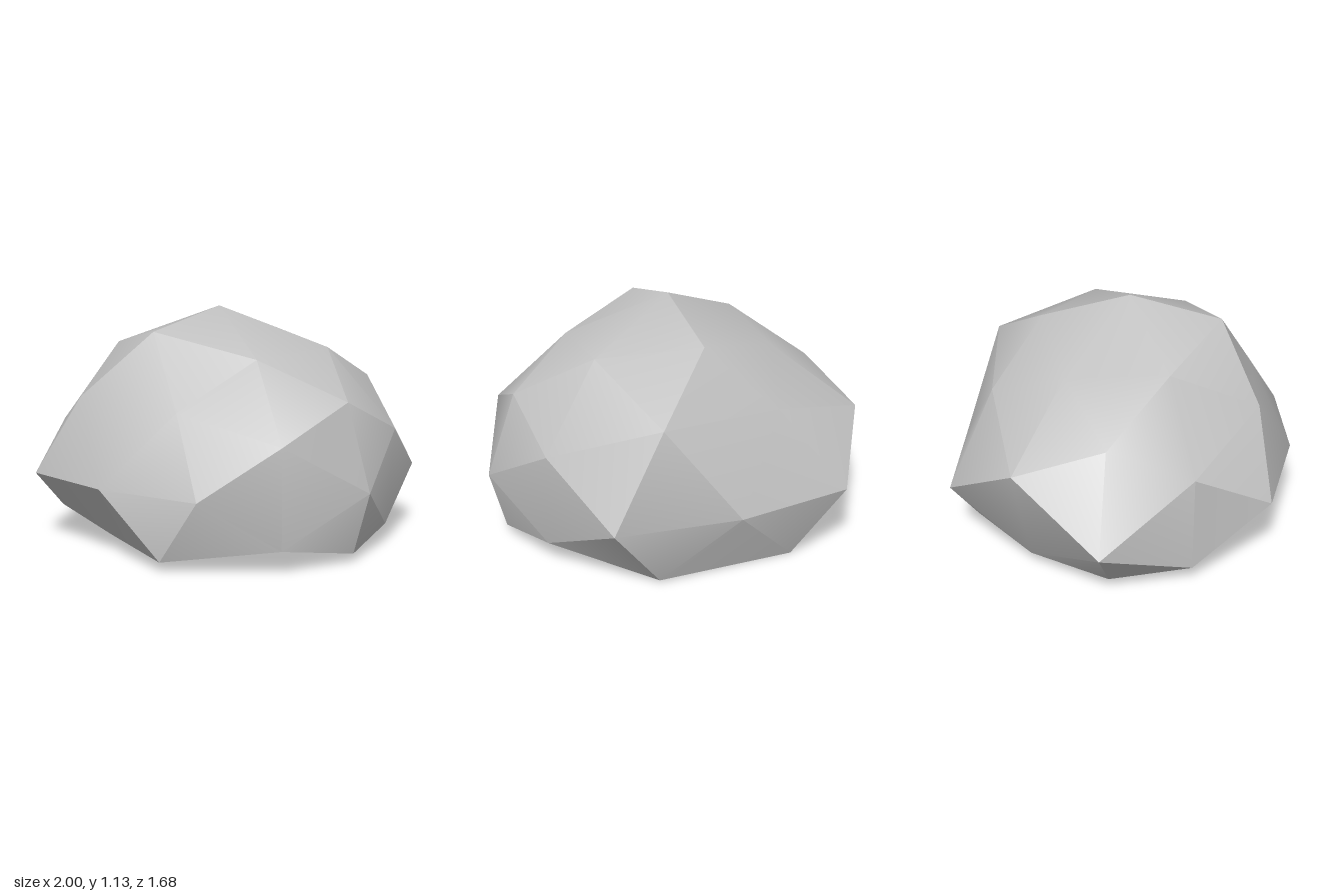
import * as THREE from 'three';
import { toCreasedNormals } from 'three/addons/utils/BufferGeometryUtils.js';

const T = (1 + Math.sqrt(5)) / 2;

// Corners of a regular icosahedron and where weathering has moved each one
const corners = {
  F: { ideal: [0, T, 1], at: [0.06, 1.03, 0.47] },
  B: { ideal: [0, T, -1], at: [0.07, 0.99, -0.42] },
  R: { ideal: [T, 1, 0], at: [0.86, 0.73, 0.02] },
  L: { ideal: [-T, 1, 0], at: [-0.72, 0.70, 0.02] },
  FR: { ideal: [1, 0, T], at: [0.60, 0.34, 0.74] },
  FL: { ideal: [-1, 0, T], at: [-0.46, 0.33, 0.77] },
  BR: { ideal: [1, 0, -T], at: [0.67, 0.31, -0.78] },
  BL: { ideal: [-1, 0, -T], at: [-0.51, 0.31, -0.78] },
  r: { ideal: [T, -1, 0], at: [0.92, 0.04, 0.04] },
  l: { ideal: [-T, -1, 0], at: [-0.73, 0.01, 0.03] },
  f: { ideal: [0, -T, 1], at: [0.05, 0.034, 0.45] },
  b: { ideal: [0, -T, -1], at: [0.05, 0.008, -0.42] },
};

// Bulging edge midpoints; edges not listed stay straight (the flat underside)
const bulges = {
  'F-B': [0.06, 1.13, 0.02],
  'F-R': [0.51, 0.915, 0.25], 'F-L': [-0.40, 0.94, 0.27],
  'B-R': [0.54, 0.94, -0.23], 'B-L': [-0.38, 0.88, -0.23],
  'F-FR': [0.34, 0.69, 0.60], 'F-FL': [-0.22, 0.72, 0.68],
  'B-BR': [0.41, 0.75, -0.73], 'B-BL': [-0.22, 0.71, -0.62],
  'R-FR': [0.82, 0.57, 0.43], 'L-FL': [-0.65, 0.54, 0.42],
  'R-BR': [0.84, 0.56, -0.38], 'L-BL': [-0.77, 0.56, -0.41],
  'FR-FL': [0.08, 0.34, 0.84], 'BR-BL': [0.07, 0.30, -0.84],
  'R-r': [1.00, 0.33, 0.03], 'L-l': [-1.00, 0.30, 0.03],
  'FR-r': [0.83, 0.11, 0.44], 'FL-l': [-0.68, 0.08, 0.42],
  'BR-r': [0.83, 0.10, -0.33], 'BL-l': [-0.64, 0.06, -0.36],
  'FR-f': [0.41, 0.05, 0.78], 'FL-f': [-0.17, 0.035, 0.55],
  'BR-b': [0.43, 0.01, -0.72], 'BL-b': [-0.25, 0.0, -0.72],
};

const ideal = (n) => new THREE.Vector3(...corners[n].ideal);
const at = (n) => corners[n].at;
const mid = (a, b) => bulges[`${a}-${b}`] ?? bulges[`${b}-${a}`]
  ?? at(a).map((v, i) => (v + at(b)[i]) / 2);
const adjacent = (a, b) => Math.abs(ideal(a).distanceTo(ideal(b)) - 2) < 0.01;

// Split every icosahedron face into four, wound to face outwards
function boulderGeometry() {
  const names = Object.keys(corners);
  const pos = [];
  names.forEach((a, i) => names.slice(i + 1).forEach((b, j) => names.slice(i + j + 2).forEach((c) => {
    if (!adjacent(a, b) || !adjacent(b, c) || !adjacent(a, c)) return;
    const outward = ideal(a).cross(ideal(b)).dot(ideal(c)) > 0;
    const [p, q] = outward ? [b, c] : [c, b];
    const ap = mid(a, p), pq = mid(p, q), qa = mid(q, a);
    pos.push(at(a), ap, qa, ap, at(p), pq, qa, pq, at(q), ap, pq, qa);
  })));
  const geo = new THREE.BufferGeometry();
  geo.setAttribute('position', new THREE.Float32BufferAttribute(pos.flat(), 3));
  return toCreasedNormals(geo, THREE.MathUtils.degToRad(30));
}

export function createModel() {
  const stone = new THREE.MeshStandardMaterial({ color: 0xc1c1c1 });
  stone.name = 'stone grey';
  const boulder = new THREE.Mesh(boulderGeometry(), stone);
  boulder.name = 'boulder';
  const model = new THREE.Group();
  model.name = 'rock';
  model.add(boulder);
  return model;
}
